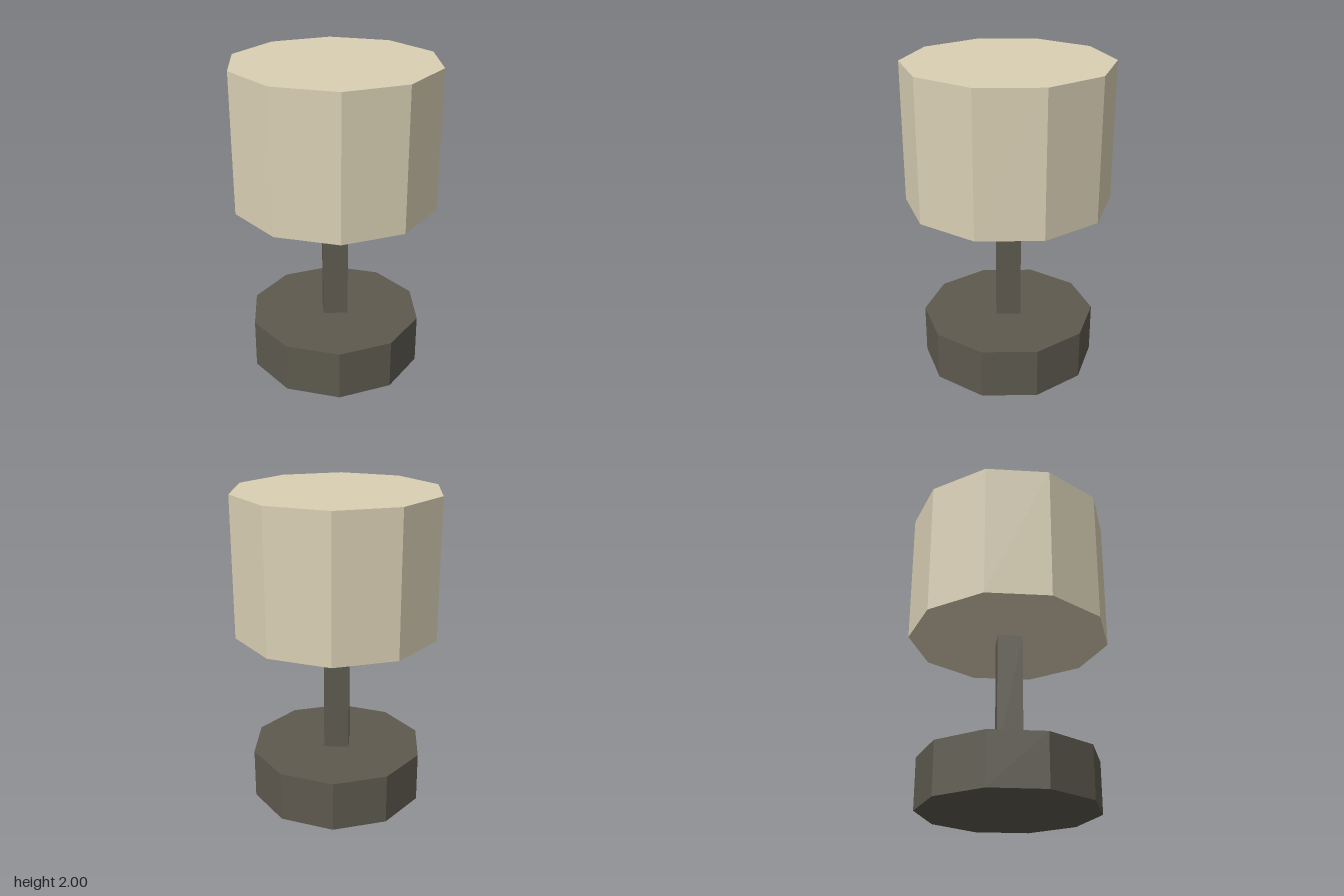
import * as THREE from 'three';

export function createModel() {
  const group = new THREE.Group();
  const material = (name, color) => {
    const m = new THREE.MeshStandardMaterial({ color, flatShading: true });
    m.name = name;
    return m;
  };
  const cream = material('cream shade', 0xd9cfb4);
  const dark = material('dark base', 0x5d594e);

  // Each part stands between two heights on the central axis
  const add = (name, geometry, mat, bottom, top) => {
    const mesh = new THREE.Mesh(geometry, mat);
    mesh.name = name;
    mesh.position.y = (bottom + top) / 2;
    group.add(mesh);
  };
  const decagon = (radius, height) => new THREE.CylinderGeometry(radius, radius, height, 10);

  // Ten-sided foot, square stem and ten-sided closed shade
  add('base', decagon(0.558, 0.323), dark, 0, 0.323);
  add('stem', new THREE.BoxGeometry(0.16, 0.8, 0.16), dark, 0.322, 1.122);
  add('lampshade', decagon(0.645, 0.88), cream, 1.12, 2);

  return group;
}
